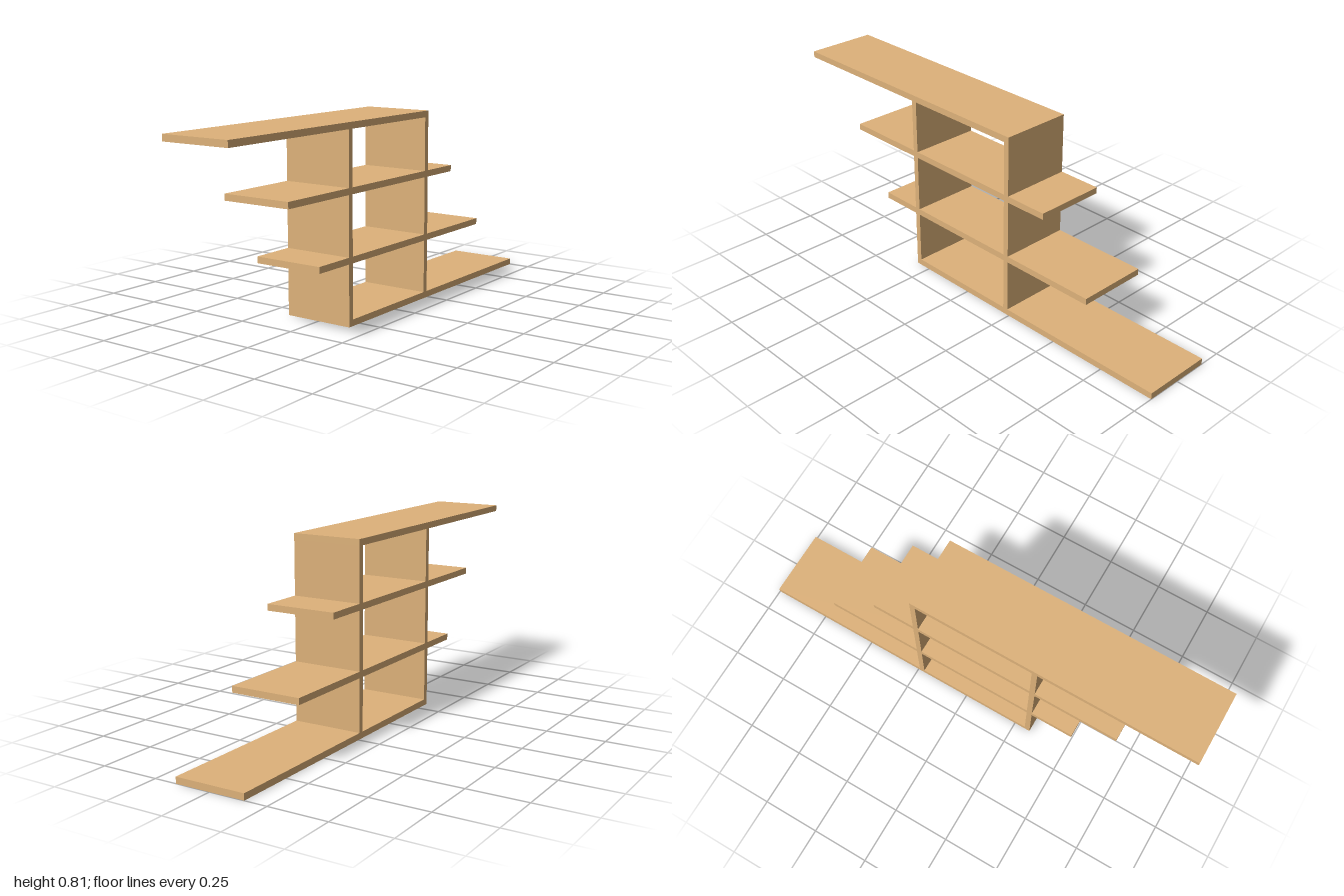
import * as THREE from 'three';

const DEPTH = 0.306;

// Shelf boards from bottom to top: [left end, right end, underside, upper side]
const SHELVES = [
  ['bottomShelf', -0.323, 1, 0, 0.027],
  ['lowerShelf', -0.512, 0.663, 0.254, 0.281],
  ['upperShelf', -0.69, 0.43, 0.528, 0.555],
  ['topShelf', -1, 0.242, 0.782, 0.809],
];

// Upright panels: [name, left face, right face]
const UPRIGHTS = [
  ['rightUpright', -0.323, -0.299],
  ['leftUpright', 0.218, 0.242],
];

export function createModel() {
  const model = new THREE.Group();
  model.name = 'steppedShelf';
  const wood = new THREE.MeshStandardMaterial({ color: 0xdeb27a });

  const addBoard = (parent, name, x0, x1, y0, y1) => {
    const board = new THREE.Mesh(new THREE.BoxGeometry(x1 - x0, y1 - y0, DEPTH), wood);
    board.name = name;
    board.position.set((x0 + x1) / 2, (y0 + y1) / 2, 0);
    parent.add(board);
  };

  // Staggered horizontal shelves
  for (const shelf of SHELVES) addBoard(model, ...shelf);

  // Uprights, fitted between each pair of shelves
  for (const [name, x0, x1] of UPRIGHTS) {
    const upright = new THREE.Group();
    upright.name = name;
    for (let i = 0; i < SHELVES.length - 1; i++) {
      addBoard(upright, `${name}Panel${i + 1}`, x0, x1, SHELVES[i][4], SHELVES[i + 1][3]);
    }
    model.add(upright);
  }

  return model;
}
